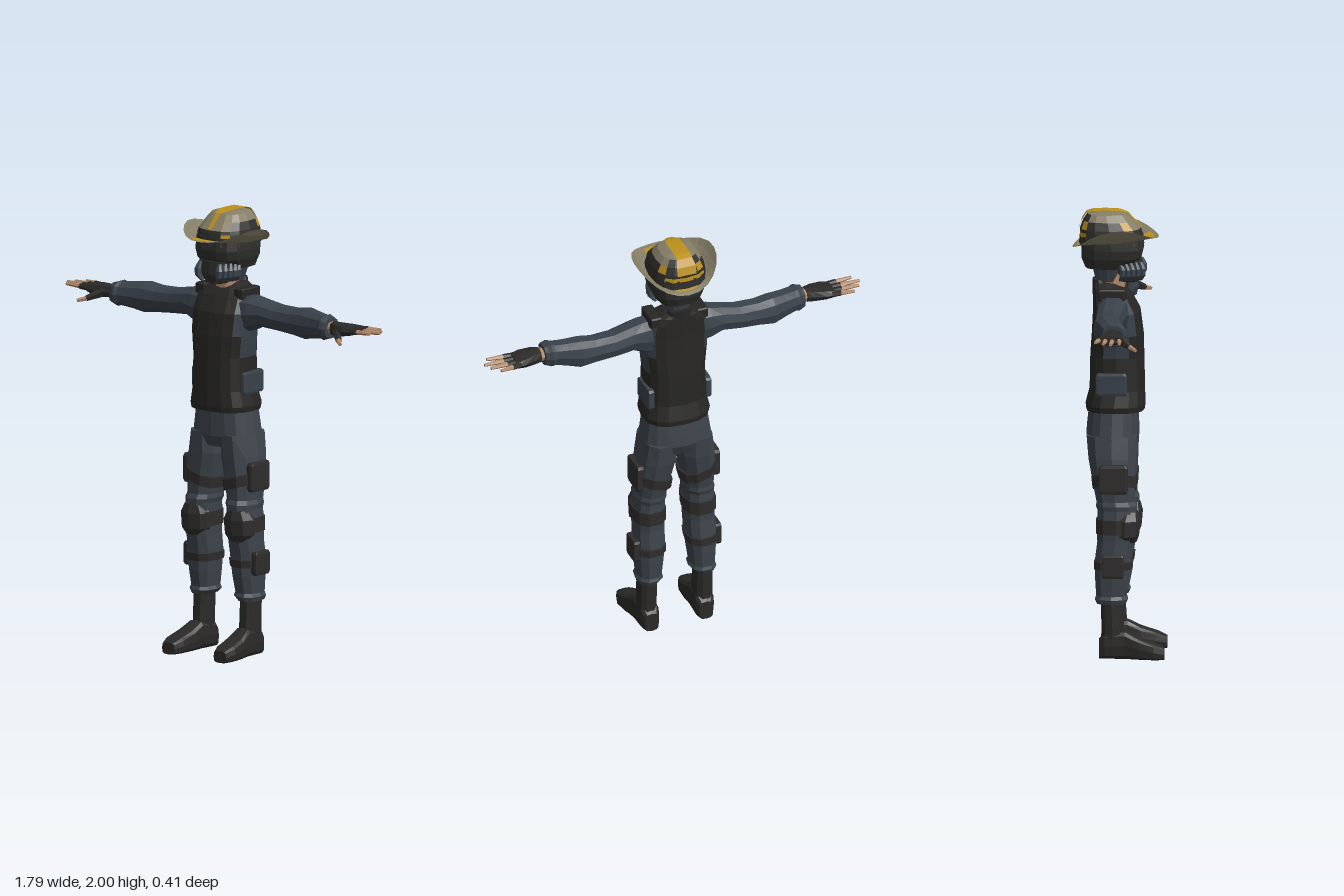
import * as THREE from 'three';

const mat = (name, color, extra = {}) => {
  const m = new THREE.MeshStandardMaterial({ color, flatShading: true, ...extra });
  m.name = name;
  return m;
};

// Layout of [along, u, v] on x, y, z for each loft direction
const LAYOUT = {
  y: (a, u, v) => [u, a, v],
  x: (a, u, v) => [a, v, u],
  z: (a, u, v) => [v, u, a],
};

// Loft through superellipse rings [along, centreU, centreV, radiusU, radiusV];
// pick(row, segment) gives a material index, row -1 being the end caps
function loft(rings, { axis = 'y', n = 12, e = 2.4, pick = null } = {}) {
  const put = LAYOUT[axis];
  const pw = (c) => Math.sign(c) * Math.pow(Math.abs(c), 2 / e);
  const pt = (i, j) => {
    const [a, cu, cv, ru, rv] = rings[i];
    const t = ((j % n) / n) * Math.PI * 2;
    return put(a, cu + ru * pw(Math.cos(t)), cv + rv * pw(Math.sin(t)));
  };
  const mid = (i) => put(rings[i][0], rings[i][1], rings[i][2]);
  const last = rings.length - 1;
  const buckets = [];
  const tri = (k, ...p) => (buckets[k] ??= []).push(...p.flat());
  for (let j = 0; j < n; j++) {
    for (let i = 0; i < last; i++) {
      const k = pick ? pick(i, j) : 0;
      const a = pt(i, j), b = pt(i, j + 1), c = pt(i + 1, j + 1), d = pt(i + 1, j);
      tri(k, a, d, c);
      tri(k, a, c, b);
    }
    const k = pick ? pick(-1, j) : 0;
    tri(k, mid(0), pt(0, j), pt(0, j + 1));
    tri(k, mid(last), pt(last, j + 1), pt(last, j));
  }
  const g = new THREE.BufferGeometry();
  const all = [];
  buckets.forEach((b, k) => {
    if (pick) g.addGroup(all.length / 3, b.length / 3, k);
    for (const x of b) all.push(x);
  });
  g.setAttribute('position', new THREE.Float32BufferAttribute(all, 3));
  g.computeVertexNormals();
  return g;
}

// Tapered rod between two points
function rod(a, b, r0, r1, sides = 6) {
  const A = new THREE.Vector3(...a), B = new THREE.Vector3(...b), d = B.clone().sub(A);
  const g = new THREE.CylinderGeometry(r1, r0, d.length(), sides);
  g.applyQuaternion(new THREE.Quaternion().setFromUnitVectors(new THREE.Vector3(0, 1, 0), d.normalize()));
  const m = A.add(B).multiplyScalar(0.5);
  return g.translate(m.x, m.y, m.z).toNonIndexed();
}

// Open sheet from rows of points
function sheet(rows) {
  const p = [];
  for (let i = 0; i < rows.length - 1; i++)
    for (let j = 0; j < rows[i].length - 1; j++) {
      const a = rows[i][j], b = rows[i][j + 1], c = rows[i + 1][j + 1], d = rows[i + 1][j];
      p.push(...a, ...b, ...c, ...a, ...c, ...d);
    }
  const g = new THREE.BufferGeometry();
  g.setAttribute('position', new THREE.Float32BufferAttribute(p, 3));
  g.computeVertexNormals();
  return g;
}

// Mirror across x, keeping faces outward
function mirrored(geo) {
  const g = geo.clone(), p = g.attributes.position, s = geo.attributes.position;
  for (let i = 0; i < p.count; i++) {
    const k = i % 3 === 1 ? i + 1 : i % 3 === 2 ? i - 1 : i;
    p.setXYZ(i, -s.getX(k), s.getY(k), s.getZ(k));
  }
  g.computeVertexNormals();
  return g;
}

export function createModel() {
  const root = new THREE.Group();
  root.name = 'officer';
  const vest = mat('vest black', 0x272624), shirt = mat('shirt grey', 0x39414a);
  const pants = mat('trouser grey', 0x3d444b), boot = mat('boot black', 0x2b2a29);
  const strap = mat('strap black', 0x2f2d2c), skin = mat('skin', 0xb48c6c);
  const maskGrey = mat('mask blue grey', 0x3c454d);
  const tan = mat('hat tan', 0x857e66, { side: THREE.DoubleSide });
  const gold = mat('hat gold', 0xbb901c, { side: THREE.DoubleSide });
  const dark = mat('hat dark', 0x2e2e2c);

  const add = (name, geo, m) => {
    const mesh = new THREE.Mesh(geo, m);
    mesh.name = name;
    root.add(mesh);
  };
  const pair = (name, geo, m) => {
    add(name + 'Left', geo, m);
    add(name + 'Right', mirrored(geo), m);
  };
  const box = (w, h, d, x, y, z) =>
    loft([[y - h / 2, x, z, w * 0.42, d * 0.44], [y - h * 0.4, x, z, w / 2, d / 2],
      [y + h * 0.4, x, z, w / 2, d / 2], [y + h / 2, x, z, w * 0.42, d * 0.44]], { e: 8 });

  // Torso: black vest with grey shirt at the armpits
  add('vest', loft([
    [1.105, 0, -0.018, 0.152, 0.13], [1.13, 0, -0.018, 0.157, 0.133], [1.2, 0, -0.01, 0.142, 0.123],
    [1.35, 0, -0.01, 0.138, 0.12], [1.45, 0, -0.008, 0.15, 0.115], [1.55, 0, -0.012, 0.155, 0.106],
    [1.62, 0, -0.032, 0.145, 0.087], [1.655, 0, -0.05, 0.1, 0.07], [1.675, 0, -0.065, 0.062, 0.052],
  ], { n: 16, e: 2.6, pick: (i, j) => ((i === 3 && (j === 0 || j === 15)) || (i > 3 && i < 6 && [14, 15, 0, 1, 6, 7, 8, 9].includes(j)) || (i === 3 && (j === 7 || j === 8))) ? 1 : 0 }), [vest, shirt]);
  add('collar', loft([[1.62, 0, -0.085, 0.07, 0.035], [1.69, 0, -0.092, 0.055, 0.028]]), vest);
  pair('shoulderStrap', box(0.055, 0.05, 0.13, 0.11, 1.635, -0.03), vest);
  pair('waistPanel', box(0.03, 0.1, 0.14, 0.137, 1.235, -0.03), shirt);

  // Arms
  pair('sleeve', loft([
    [0.11, -0.02, 1.54, 0.07, 0.09], [0.16, -0.025, 1.55, 0.072, 0.08], [0.21, -0.028, 1.557, 0.066, 0.062],
    [0.3, -0.035, 1.545, 0.062, 0.057], [0.39, -0.035, 1.54, 0.06, 0.06], [0.46, -0.033, 1.54, 0.065, 0.07],
    [0.52, -0.02, 1.543, 0.058, 0.06], [0.575, -0.006, 1.545, 0.056, 0.053], [0.59, -0.003, 1.545, 0.062, 0.058],
    [0.605, 0, 1.545, 0.057, 0.052], [0.62, 0, 1.545, 0.05, 0.048],
  ], { axis: 'x', n: 10 }), shirt);
  pair('wrist', loft([[0.6, 0, 1.548, 0.032, 0.028], [0.65, 0, 1.548, 0.03, 0.026]], { axis: 'x', n: 8 }), skin);
  pair('glove', loft([
    [0.635, 0, 1.548, 0.033, 0.03], [0.67, 0.003, 1.547, 0.045, 0.03],
    [0.72, -0.002, 1.548, 0.055, 0.026], [0.76, -0.01, 1.551, 0.055, 0.018],
  ], { axis: 'x', n: 8, e: 3 }), boot);
  [[-0.05, 0.845, -0.07], [-0.024, 0.88, -0.034], [0.004, 0.897, 0], [0.03, 0.872, 0.038]].forEach(([z, x, z1], i) => {
    const zm = z + (z1 - z) * 0.4;
    const xm = 0.745 + (x - 0.745) * 0.4;
    pair('gloveFinger' + i, rod([0.745, 1.552, z], [xm, 1.554, zm], 0.014, 0.013), boot);
    pair('fingertip' + i, rod([xm, 1.554, zm], [x, 1.556, z1], 0.0115, 0.007), skin);
  });
  pair('gloveThumb', rod([0.675, 1.54, 0.03], [0.725, 1.515, 0.078], 0.022, 0.014), boot);
  pair('thumbTip', rod([0.725, 1.515, 0.078], [0.757, 1.505, 0.105], 0.012, 0.008), skin);

  // Trousers
  add('hips', loft([
    [0.94, 0, -0.03, 0.155, 0.095], [0.99, 0, -0.03, 0.164, 0.118], [1.05, 0, -0.028, 0.155, 0.115],
    [1.12, 0, -0.025, 0.145, 0.11],
  ], { n: 16 }), pants);
  pair('trouserLeg', loft([
    [0.25, 0.133, -0.03, 0.05, 0.066], [0.27, 0.127, -0.03, 0.063, 0.076], [0.285, 0.127, -0.03, 0.056, 0.07],
    [0.36, 0.125, -0.025, 0.063, 0.08], [0.45, 0.122, -0.022, 0.069, 0.084], [0.53, 0.12, -0.01, 0.068, 0.086],
    [0.6, 0.12, -0.008, 0.07, 0.09], [0.67, 0.117, -0.005, 0.068, 0.09], [0.69, 0.115, -0.008, 0.073, 0.094],
    [0.71, 0.113, -0.012, 0.069, 0.088], [0.8, 0.106, -0.02, 0.079, 0.098], [0.9, 0.092, -0.027, 0.086, 0.11],
    [1.0, 0.086, -0.03, 0.076, 0.116],
  ], { n: 10 }), pants);

  // Straps, pouches and knee pads
  const sloped = (g, k) => {
    const p = g.attributes.position;
    for (let i = 0; i < p.count; i++) p.setY(i, p.getY(i) + (p.getX(i) - 0.12) * k);
    g.computeVertexNormals();
    return g;
  };
  pair('thighStrap', sloped(loft([[0.765, 0.107, -0.018, 0.082, 0.1], [0.815, 0.104, -0.02, 0.085, 0.104]], { n: 10 }), 0.3), strap);
  pair('kneeStrap', loft([[0.565, 0.12, -0.008, 0.075, 0.094], [0.63, 0.119, -0.006, 0.076, 0.096]], { n: 10 }), strap);
  pair('calfStrap', loft([[0.405, 0.123, -0.024, 0.072, 0.087], [0.44, 0.122, -0.022, 0.074, 0.089]], { n: 10 }), strap);
  pair('kneePad', loft([
    [0.525, 0.125, 0.045, 0.04, 0.035], [0.555, 0.124, 0.03, 0.07, 0.062],
    [0.625, 0.123, 0.032, 0.074, 0.066], [0.665, 0.123, 0.045, 0.05, 0.042],
  ], { n: 8 }), strap);
  pair('thighPouch', box(0.035, 0.13, 0.13, 0.182, 0.815, -0.02), strap);
  pair('calfPouch', box(0.032, 0.105, 0.1, 0.194, 0.425, -0.022), strap);

  // Boots
  pair('bootShaft', loft([
    [0.06, 0.133, -0.03, 0.044, 0.05], [0.13, 0.133, -0.024, 0.043, 0.052], [0.27, 0.133, -0.03, 0.044, 0.048],
  ], { n: 10 }), boot);
  pair('bootFoot', loft([
    [-0.085, 0.045, 0.13, 0.045, 0.033], [-0.06, 0.06, 0.131, 0.06, 0.045], [0.03, 0.065, 0.135, 0.065, 0.045],
    [0.09, 0.049, 0.141, 0.049, 0.053], [0.16, 0.037, 0.147, 0.037, 0.054], [0.205, 0.027, 0.148, 0.027, 0.036],
  ], { axis: 'z', n: 12, e: 3.6 }), boot);

  // Head, hood and breathing mask
  add('neck', loft([[1.62, 0, -0.03, 0.05, 0.05], [1.74, 0, -0.02, 0.05, 0.055]]), skin);
  add('hood', loft([[1.68, 0, -0.055, 0.055, 0.05], [1.78, 0, -0.05, 0.09, 0.08]]), maskGrey);
  add('helmet', loft([
    [1.745, 0, -0.052, 0.1, 0.1], [1.79, 0, -0.035, 0.12, 0.135], [1.83, 0, -0.03, 0.126, 0.14], [1.89, 0, -0.035, 0.122, 0.14],
  ], { n: 14, e: 2.8 }), dark);
  add('mask', loft([[1.68, 0, 0.045, 0.05, 0.04], [1.72, 0, 0.045, 0.075, 0.06], [1.78, 0, 0.035, 0.09, 0.065]]), dark);
  for (let i = 0; i < 5; i++) {
    const x = 0.055 + 0.035 * Math.sin((i / 4) * Math.PI / 2), z = 0.105 - i * 0.022;
    pair('maskRib' + i, loft([[1.69, x - 0.012, z - 0.01, 0.008, 0.008], [1.715, x + 0.004, z, 0.016, 0.014],
      [1.745, x + 0.006, z, 0.017, 0.014], [1.775, x, z - 0.01, 0.01, 0.009]], { n: 6 }), maskGrey);
  }

  // Hat crown in tan and dark patches
  add('hatCrown', loft([
    [1.85, 0, -0.035, 0.127, 0.145], [1.885, 0, -0.037, 0.124, 0.14], [1.905, 0, -0.038, 0.121, 0.138],
    [1.92, 0, -0.04, 0.118, 0.135], [1.955, 0, -0.05, 0.102, 0.112], [1.985, 0, -0.055, 0.08, 0.088],
    [1.994, 0, -0.06, 0.05, 0.055],
  ], { n: 16, e: 2.6, pick: (i, j) => {
    if (i === 1) return j % 5 === 2 || (j > 9 && j < 14) ? 2 : 0;
    if (i === 3) return j > 1 && j < 6 ? 1 : j % 4 === 2 ? 2 : 0;
    if (i === 4) return j > 9 && j < 14 ? 0 : 1;
    return i >= 0 && i < 3 ? 0 : 1;
  } }), [dark, tan, gold]);

  // Gold stripe over the crown: [y, z, half width]
  add('hatStripe', sheet([
    [1.925, 0.098, 0.01], [1.957, 0.066, 0.012], [1.989, 0.036, 0.014], [1.998, 0, 0.034],
    [2.0, -0.06, 0.036], [1.998, -0.118, 0.036], [1.989, -0.147, 0.036], [1.957, -0.168, 0.045], [1.92, -0.179, 0.045],
  ].map(([y, z, w]) => [[w, y, z], [-w, y, z]])), gold);

  // Brim: sides curl up, back dips; r runs 0 at the crown to 1 at the edge
  const brimPoint = (t, r) => {
    const s = Math.cos(t), f = Math.sin(t);
    const edge = 1.845 + 0.085 * Math.pow(Math.abs(s), 2.5) + (f > 0 ? 0.035 * f : 0.012 * f);
    const inner = 1.862 + 0.012 * f;
    return [s * (0.12 + 0.07 * r), inner + (edge - inner) * Math.pow(r, 1.6), -0.025 + f * (0.13 + (f > 0 ? 0.07 : 0.055) * r)];
  };
  const brim = (t0, t1, radii, lift = 0) => sheet(radii.map((r) => Array.from({ length: 25 }, (_, k) => {
    const p = brimPoint(t0 + ((t1 - t0) * k) / 24, r);
    return [p[0], p[1] + lift, p[2]];
  })));
  add('hatBrim', brim(0, Math.PI * 2, [0, 0.35, 0.7, 1]), tan);
  add('brimPatchFront', brim(1.05, 2.09, [0, 0.35, 0.7], 0.003), gold);
  add('brimPatchBack', brim(4.4, 5.0, [0, 0.35, 0.6], 0.003), gold);
  return root;
}
